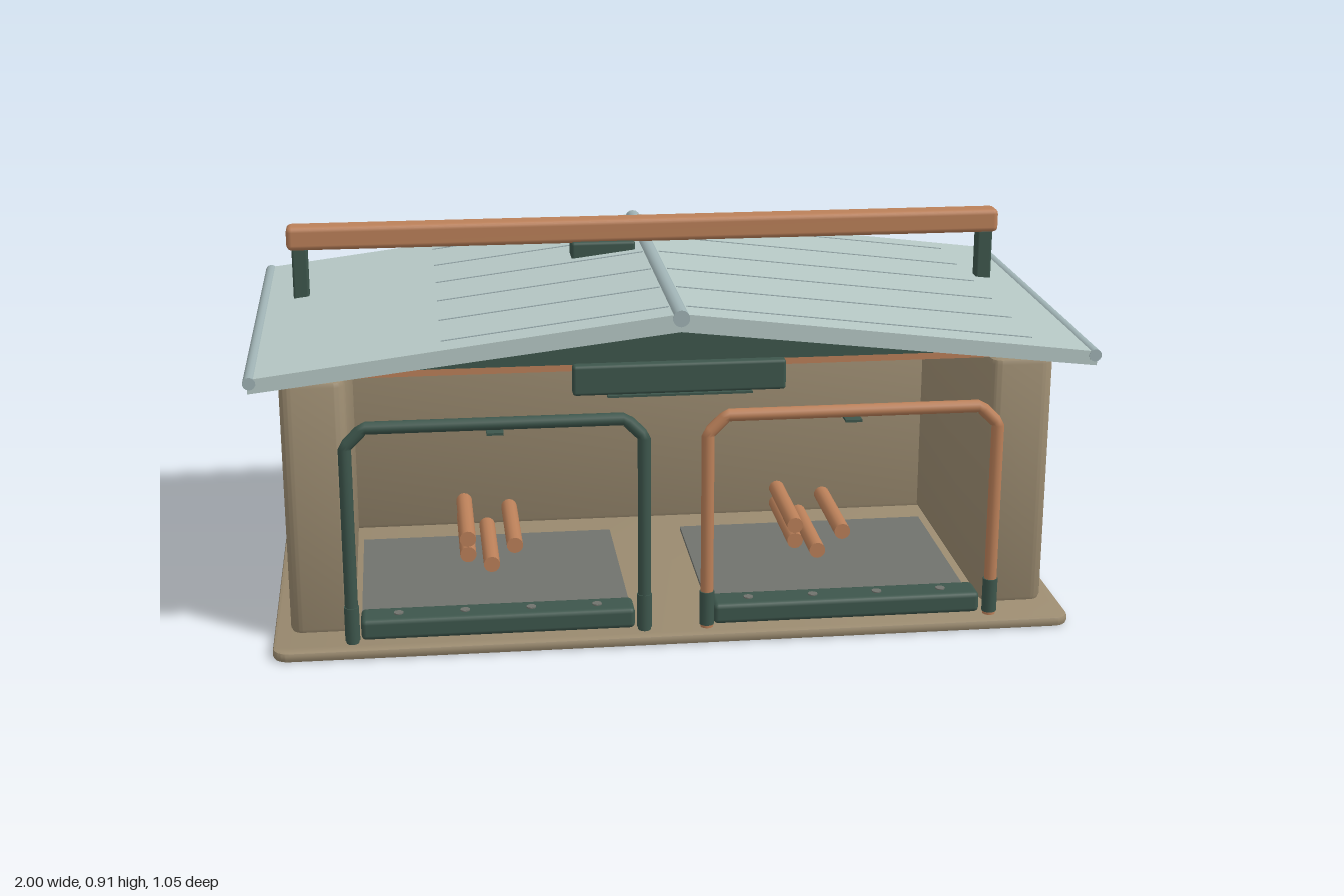
import * as THREE from 'three';
import { toCreasedNormals } from 'three/addons/utils/BufferGeometryUtils.js';
import { RoundedBoxGeometry } from 'three/addons/geometries/RoundedBoxGeometry.js';

const mat = (name, color, side = THREE.FrontSide) => {
  const m = new THREE.MeshStandardMaterial({ color, side });
  m.name = name;
  return m;
};

// Rectangle in plan (shape y = -z) with separate front and back corner radii
function planRect(x0, x1, zBack, zFront, rf, rb) {
  const s = new THREE.Shape(), a = -zFront, b = -zBack;
  s.moveTo(x0 + rf, a);
  s.lineTo(x1 - rf, a);
  s.absarc(x1 - rf, a + rf, rf, -Math.PI / 2, 0);
  s.lineTo(x1, b - rb);
  s.absarc(x1 - rb, b - rb, rb, 0, Math.PI / 2);
  s.lineTo(x0 + rb, b);
  s.absarc(x0 + rb, b - rb, rb, Math.PI / 2, Math.PI);
  s.lineTo(x0, a + rf);
  s.absarc(x0 + rf, a + rf, rf, Math.PI, Math.PI * 1.5);
  return s;
}

// Raise a plan shape from y0 to y1 with a small edge bevel
function raise(shape, y0, y1, bevel) {
  const g = new THREE.ExtrudeGeometry(shape, {
    depth: y1 - y0 - 2 * bevel, bevelEnabled: true, bevelThickness: bevel,
    bevelSize: bevel, bevelOffset: -bevel, bevelSegments: 2, curveSegments: 8,
  });
  g.rotateX(-Math.PI / 2).translate(0, y0 + bevel, 0);
  return toCreasedNormals(g, 0.6);
}

// Polygon in x/y extruded along z
function slab(points, z0, z1) {
  const s = new THREE.Shape(points.map(p => new THREE.Vector2(p[0], p[1])));
  return new THREE.ExtrudeGeometry(s, { depth: z1 - z0, bevelEnabled: false }).translate(0, 0, z0);
}

export function createModel() {
  const root = new THREE.Group();
  root.name = 'shelter';
  const stone = mat('stone', 0x9b8b70);
  const copper = mat('copper', 0xbb8059, THREE.DoubleSide);
  const green = mat('darkGreen', 0x3d564c, THREE.DoubleSide);
  const sheet = mat('roofSheet', 0xb6c8c5);
  const trim = mat('roofTrim', 0x9fb2b4);
  const grey = mat('floorGrey', 0x70736d);

  const add = (name, geo, material, parent = root) => {
    const m = new THREE.Mesh(geo, material);
    m.name = name;
    parent.add(m);
    return m;
  };
  const box = (name, x0, x1, y0, y1, z0, z1, r, material, parent) => {
    const g = r
      ? new RoundedBoxGeometry(x1 - x0, y1 - y0, z1 - z0, 2, r)
      : new THREE.BoxGeometry(x1 - x0, y1 - y0, z1 - z0);
    return add(name, g.translate((x0 + x1) / 2, (y0 + y1) / 2, (z0 + z1) / 2), material, parent);
  };
  const rodZ = (name, x, y, z0, z1, r, material, parent) =>
    add(name, new THREE.CylinderGeometry(r, r, z1 - z0, 14).rotateX(Math.PI / 2)
      .translate(x, y, (z0 + z1) / 2), material, parent);

  // Base and three walls
  add('base', raise(planRect(-0.97, 0.97, -0.5, 0.505, 0.04, 0.04), 0, 0.025, 0.008), stone);
  add('backWall', raise(planRect(-0.928, 0.928, -0.47, -0.31, 0.015, 0.08), 0.02, 0.668, 0.014), stone);
  for (const s of [-1, 1]) {
    const w = s < 0 ? [-0.93, -0.775] : [0.775, 0.93];
    add('sideWall', raise(planRect(w[0], w[1], -0.46, 0.388, 0.03, 0.07), 0.02, 0.656, 0.014), stone);
  }

  // Pitched roof with ridge, eave tubes and seams
  add('roof', slab([[0, 0.79], [0.99, 0.676], [0.99, 0.71], [0, 0.833], [-0.99, 0.71], [-0.99, 0.676]],
    -0.525, 0.525), sheet);
  rodZ('ridge', 0, 0.822, -0.527, 0.527, 0.02, trim);
  for (const s of [-1, 1]) rodZ('eaveTube', s * 0.985, 0.701, -0.527, 0.527, 0.015, trim);
  const roofY = x => 0.833 - 0.1242 * Math.abs(x);
  for (let i = 0; i < 6; i++) {
    const z = -0.45 + i * 0.18;
    for (const [a, b] of [[-0.55, -0.02], [0.02, 0.85]]) {
      add('roofSeam', slab([[a, roofY(a) - 0.01], [b, roofY(b) - 0.01],
        [b, roofY(b) + 0.002], [a, roofY(a) + 0.002]], z - 0.002, z + 0.002), trim);
    }
  }

  // Gable panels and the beam under the front one
  for (const z of [-0.45, 0.43]) {
    add('gablePanel', slab([[-0.78, 0.695], [0.78, 0.695], [0.78, 0.705], [0, 0.795], [-0.78, 0.705]],
      z - 0.01, z + 0.01), green);
  }
  box('gableBeam', -0.78, 0.78, 0.678, 0.7, 0.41, 0.435, 0, copper);

  // Front plaque
  box('plaque', -0.25, 0.25, 0.637, 0.71, 0.475, 0.505, 0.008, green);
  box('plaqueLip', -0.17, 0.17, 0.633, 0.638, 0.49, 0.511, 0, green);

  // Long rail over the roof, on posts
  box('topRail', -0.922, 0.922, 0.845, 0.907, -0.196, -0.135, 0.014, copper);
  for (const s of [-1, 1]) {
    box('railPost', s * 0.89 - 0.02, s * 0.89 + 0.02, 0.645, 0.85, -0.186, -0.146, 0.006, green);
  }
  box('railBracket', -0.2, -0.035, 0.8, 0.85, -0.208, -0.128, 0.008, green);

  // One bay: tube frame, sleeves, sill, floor mat and logs
  const bay = (name, xa, xb, frameMat, logs) => {
    const g = new THREE.Group();
    g.name = name;
    root.add(g);
    const z = 0.467, top = 0.567, r = 0.045;
    const V = (x, y) => new THREE.Vector3(x, y, z);
    const path = new THREE.CurvePath();
    path.add(new THREE.LineCurve3(V(xa, 0.03), V(xa, top - r)));
    path.add(new THREE.LineCurve3(V(xa, top - r), V(xa + r, top)));
    path.add(new THREE.LineCurve3(V(xa + r, top), V(xb - r, top)));
    path.add(new THREE.LineCurve3(V(xb - r, top), V(xb, top - r)));
    path.add(new THREE.LineCurve3(V(xb, top - r), V(xb, 0.03)));
    add('doorFrame', new THREE.TubeGeometry(path, 120, 0.0155, 12), frameMat, g);
    for (const x of [xa, xb]) {
      add('frameSleeve', new THREE.CylinderGeometry(0.018, 0.018, 0.085, 14).translate(x, 0.08, z), green, g);
    }
    const mid = (xa + xb) / 2;
    box('latch', mid - 0.02, mid + 0.02, 0.537, 0.543, 0.415, z, 0, green, g);
    box('sill', xa + 0.02, xb - 0.02, 0.025, 0.077, 0.37, 0.452, 0.012, green, g);
    for (let i = 0; i < 4; i++) {
      add('sillStud', new THREE.CylinderGeometry(0.012, 0.012, 0.004, 10)
        .translate(mid - 0.24 + i * 0.16, 0.078, 0.412), grey, g);
    }
    box('floorMat', xa + 0.02, xb - 0.02, 0.024, 0.034, -0.2, 0.36, 0, grey, g);
    for (const [x, y] of logs) rodZ('log', x, y, -0.22, 0.07, 0.021, copper, g);
  };
  bay('leftBay', -0.78, -0.08, green, [[-0.49, 0.127], [-0.49, 0.085], [-0.37, 0.105], [-0.43, 0.055]]);
  bay('rightBay', 0.072, 0.773, copper, [[0.36, 0.127], [0.36, 0.085], [0.485, 0.105], [0.42, 0.055]]);
  return root;
}
